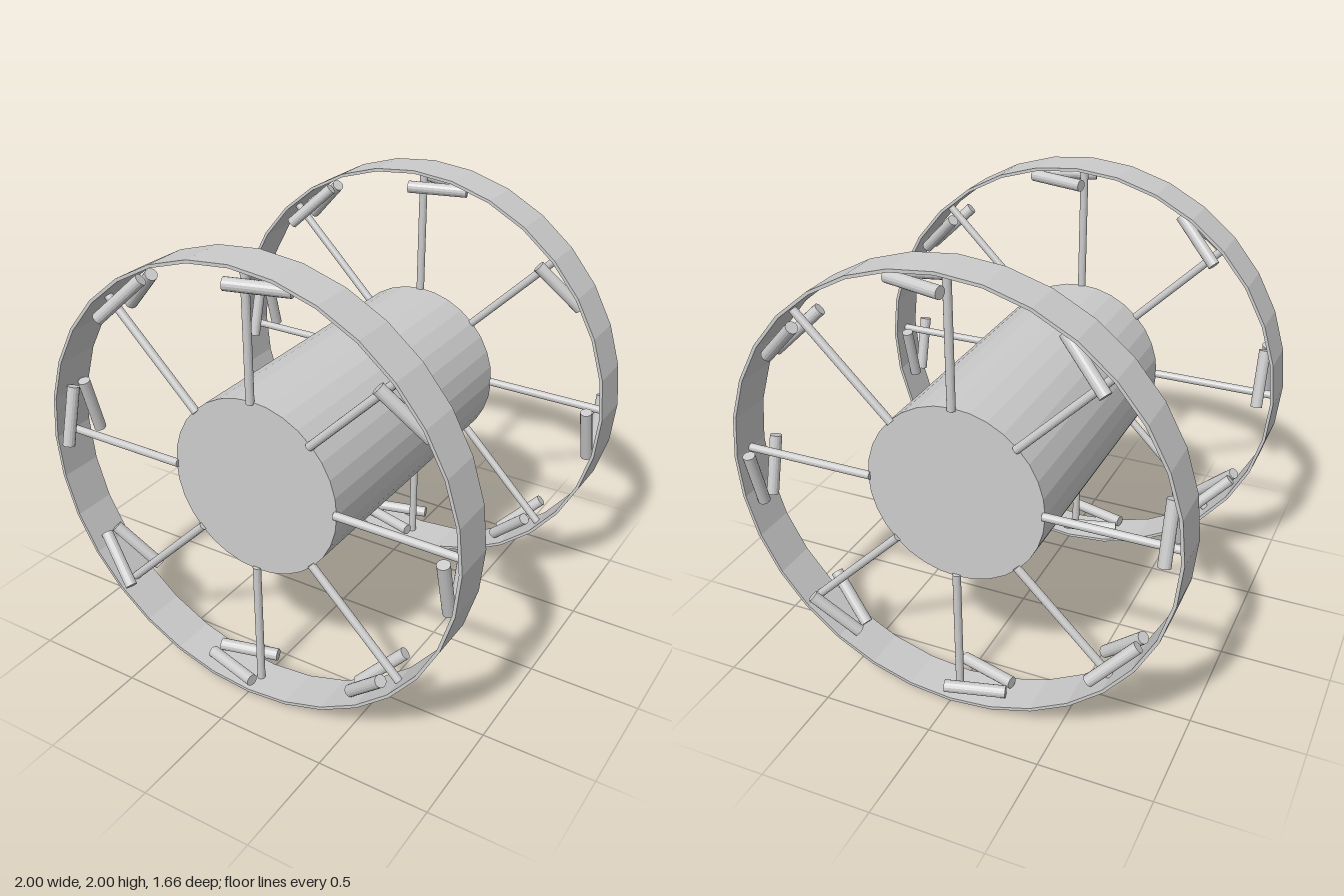
import * as THREE from 'three';

const material = new THREE.MeshStandardMaterial({ color: 0xcccccc, flatShading: true });

function part(name, geometry) {
  const mesh = new THREE.Mesh(geometry, material);
  mesh.name = name;
  return mesh;
}

// Thin flat hoop lying around the z axis
function rimGeometry(outer, inner, halfWidth) {
  const profile = [
    [outer, -halfWidth], [outer, halfWidth], [inner, halfWidth], [inner, -halfWidth], [outer, -halfWidth],
  ].map(([x, y]) => new THREE.Vector2(x, y));
  return new THREE.LatheGeometry(profile, 32).rotateX(Math.PI / 2);
}

export function createModel() {
  const model = new THREE.Group();
  model.name = 'spool';

  // Central drum
  const drum = part('drum', new THREE.CylinderGeometry(0.4, 0.4, 1.4, 32).rotateX(Math.PI / 2));
  drum.position.y = 1;
  model.add(drum);

  const rimGeo = rimGeometry(1, 0.986, 0.1);
  const spokeGeo = new THREE.CylinderGeometry(0.018, 0.018, 0.6, 16);
  const pegGeo = new THREE.CylinderGeometry(0.027, 0.027, 0.27, 16).rotateZ(Math.PI / 2);

  for (const end of [1, -1]) {
    const wheel = new THREE.Group();
    wheel.name = end > 0 ? 'frontWheel' : 'backWheel';
    wheel.position.set(0, 1, end * 0.7);
    wheel.add(part('rim', rimGeo));

    // Eight spokes, each with a pair of pegs meeting in a V
    for (let i = 0; i < 8; i++) {
      const arm = new THREE.Group();
      arm.name = 'spokeArm';
      arm.rotation.z = (i * Math.PI) / 4;

      const spoke = part('spoke', spokeGeo);
      spoke.position.y = 0.69;
      arm.add(spoke);

      for (const side of [1, -1]) {
        const peg = part('peg', pegGeo);
        peg.position.set(0.107, 0.923, side * 0.067);
        peg.rotation.y = side * 0.26;
        arm.add(peg);
      }
      wheel.add(arm);
    }
    model.add(wheel);
  }
  return model;
}
